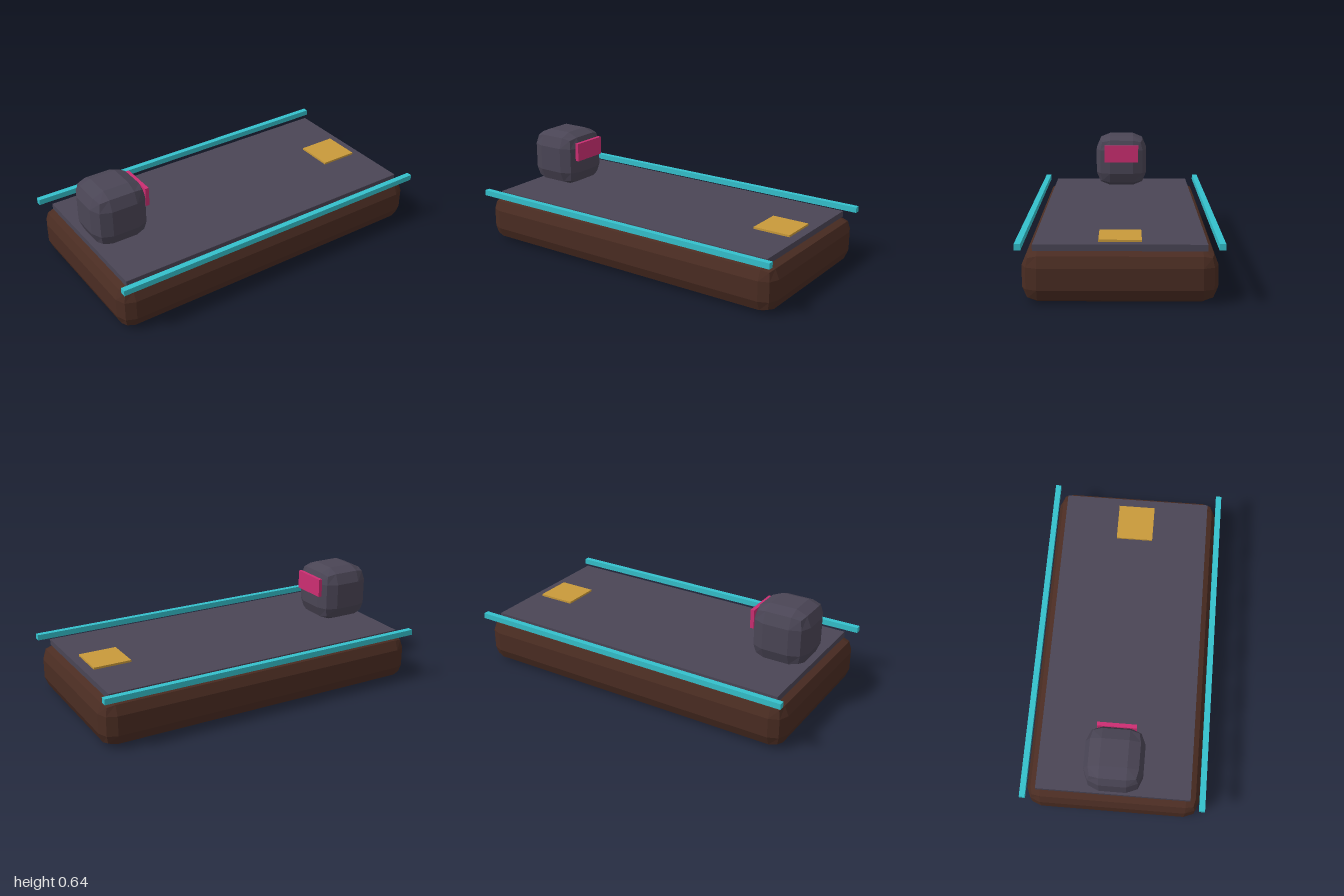
import * as THREE from 'three';
import { RoundedBoxGeometry } from 'three/addons/geometries/RoundedBoxGeometry.js';

const paint = (name, color) => Object.assign(new THREE.MeshStandardMaterial({ color }), { name });

export function createModel() {
  const brown = paint('dark brown', 0x4a2c22);
  const slate = paint('slate grey', 0x4a4555);
  const teal = paint('teal', 0x34c0cc);
  const pink = paint('pink', 0xcc2e72);
  const gold = paint('gold', 0xc99a3a);

  const model = new THREE.Group();
  model.name = 'hoverPlatform';

  // Adds a box spanning the given ranges; a radius gives it faceted, bevelled edges
  function addBox(name, material, [x0, x1], [y0, y1], [z0, z1], radius = 0) {
    const size = [x1 - x0, y1 - y0, z1 - z0];
    const geometry = radius
      ? new RoundedBoxGeometry(...size, 1, radius)
      : new THREE.BoxGeometry(...size);
    if (radius) geometry.computeVertexNormals(); // unshared corners give flat facets
    const mesh = new THREE.Mesh(geometry, material);
    mesh.position.set((x0 + x1) / 2, (y0 + y1) / 2, (z0 + z1) / 2);
    mesh.name = name;
    model.add(mesh);
  }

  // Body and deck
  addBox('base', brown, [-1, 1], [0, 0.274], [-0.5, 0.5], 0.08);
  addBox('deck', slate, [-0.942, 0.942], [0.27, 0.304], [-0.444, 0.444]);

  // Side rails
  addBox('leftRail', teal, [-1, 1], [0.289, 0.322], [0.495, 0.528]);
  addBox('rightRail', teal, [-1, 1], [0.289, 0.322], [-0.528, -0.495]);

  // Head with its visor, facing along the deck
  addBox('head', slate, [-0.945, -0.612], [0.304, 0.638], [-0.166, 0.166], 0.09);
  addBox('visor', pink, [-0.62, -0.598], [0.473, 0.584], [-0.111, 0.111]);

  // Plate at the far end of the deck
  addBox('deckPlate', gold, [0.664, 0.888], [0.3, 0.316], [-0.111, 0.111]);

  return model;
}
